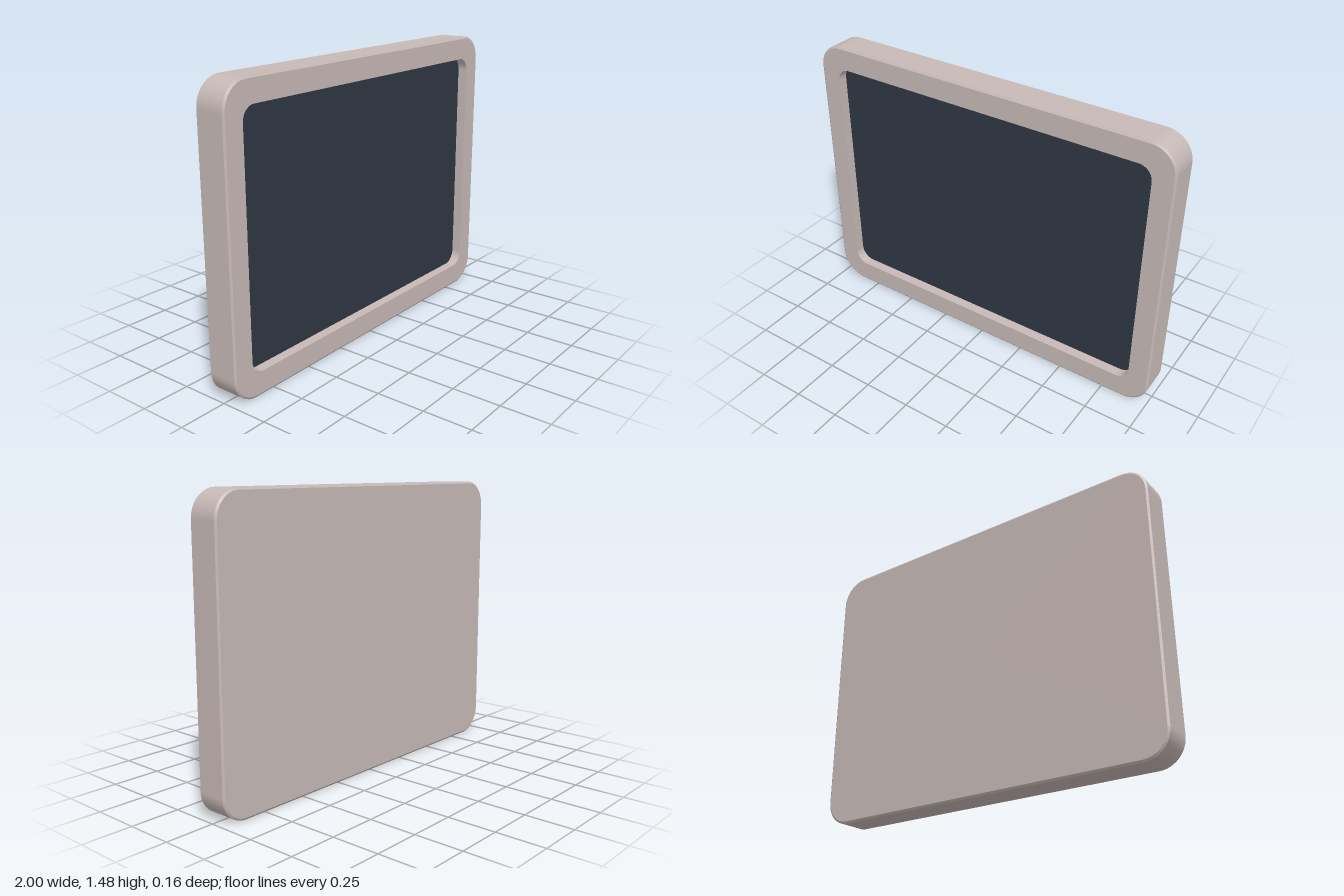
import * as THREE from 'three';
import { mergeGeometries } from 'three/addons/utils/BufferGeometryUtils.js';

const CENTER_Y = 0.74;
const CORNER_STEPS = 12;

// Rounded rectangle outline, counter-clockwise seen from the front
function outline(halfW, halfH, radius) {
  const points = [];
  const signs = [[1, 1], [-1, 1], [-1, -1], [1, -1]];
  signs.forEach(([sx, sy], corner) => {
    for (let i = 0; i <= CORNER_STEPS; i++) {
      const a = (corner + i / CORNER_STEPS) * Math.PI / 2;
      points.push(new THREE.Vector2(
        sx * (halfW - radius) + radius * Math.cos(a),
        sy * (halfH - radius) + radius * Math.sin(a)
      ));
    }
  });
  return points;
}

// Closed strip between two outlines; separate strips keep the edges sharp
function band([w0, h0, r0, z0], [w1, h1, r1, z1]) {
  const a = outline(w0, h0, r0), b = outline(w1, h1, r1);
  const n = a.length, position = [], index = [];
  a.forEach((p) => position.push(p.x, p.y, z0));
  b.forEach((p) => position.push(p.x, p.y, z1));
  for (let i = 0; i < n; i++) {
    const j = (i + 1) % n;
    index.push(i, j, n + j, i, n + j, n + i);
  }
  const geometry = new THREE.BufferGeometry();
  geometry.setAttribute('position', new THREE.Float32BufferAttribute(position, 3));
  geometry.setIndex(index);
  geometry.computeVertexNormals();
  return geometry;
}

export function createModel() {
  const frameMaterial = new THREE.MeshStandardMaterial({ color: 0xc6b9b6 });
  frameMaterial.name = 'warm grey casing';
  const screenMaterial = new THREE.MeshStandardMaterial({ color: 0x2e3742 });
  screenMaterial.name = 'dark slate screen';

  const group = new THREE.Group();
  group.name = 'tablet';

  // Casing sections from the back centre, around the side, to the recess floor:
  // half width, half height, corner radius, z
  const sections = [
    [0, 0, 0, -0.082],
    [0.99, 0.73, 0.125, -0.082],
    [1, 0.74, 0.135, -0.075],
    [1, 0.74, 0.135, 0.075],
    [0.99, 0.73, 0.125, 0.082],
    [0.89, 0.62, 0.07, 0.082],
    [0.89, 0.62, 0.07, 0.03],
  ];
  const bands = sections.slice(1).map((section, i) => band(sections[i], section));
  const casing = new THREE.Mesh(mergeGeometries(bands), frameMaterial);
  casing.name = 'casing';
  casing.position.y = CENTER_Y;

  // Flat screen on the recess floor
  const screen = new THREE.Mesh(
    new THREE.ShapeGeometry(new THREE.Shape(outline(0.89, 0.62, 0.07))),
    screenMaterial
  );
  screen.name = 'screen';
  screen.position.set(0, CENTER_Y, 0.03);

  group.add(casing, screen);
  return group;
}
